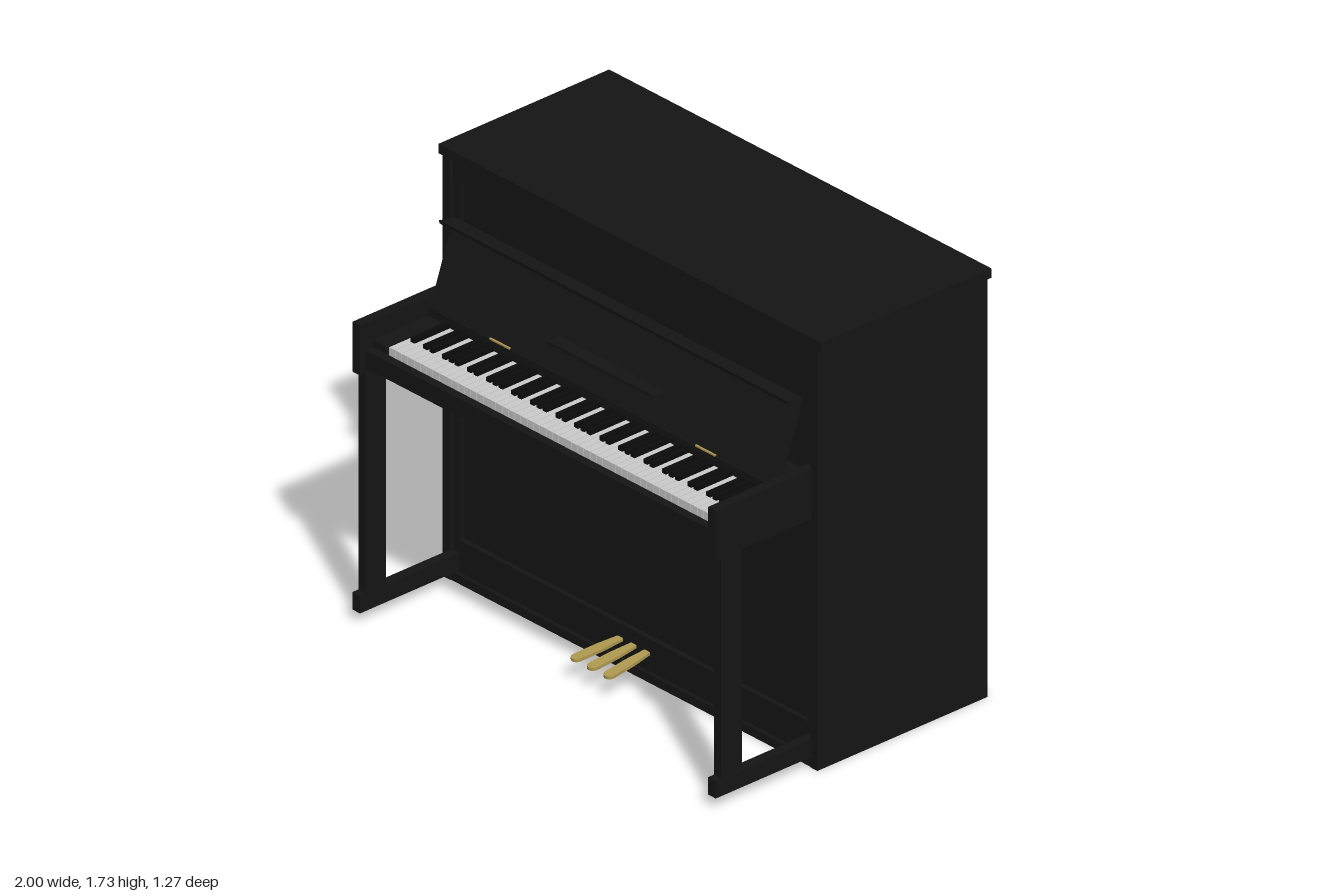
import * as THREE from 'three';

const paint = (color) => new THREE.MeshStandardMaterial({ color });
const black = paint(0x151515);
const ebony = paint(0x0b0b0b);
const ivory = paint(0xdddddd);
const brass = paint(0xb09a50);

// Box given by its limits on each axis
function box(parent, name, [x0, x1], [y0, y1], [z0, z1], material = black) {
  const mesh = new THREE.Mesh(new THREE.BoxGeometry(x1 - x0, y1 - y0, z1 - z0), material);
  mesh.position.set((x0 + x1) / 2, (y0 + y1) / 2, (z0 + z1) / 2);
  mesh.name = name;
  parent.add(mesh);
  return mesh;
}

// The same box on the left (+x) and the right (-x)
function pair(parent, name, [x0, x1], y, z, material) {
  box(parent, name + 'Left', [x0, x1], y, z, material);
  box(parent, name + 'Right', [-x1, -x0], y, z, material);
}

// Side profile of [z, y] points, swept across the width
function sweep(parent, name, points, halfWidth, material = black) {
  const shape = new THREE.Shape(points.map(([z, y]) => new THREE.Vector2(-z, y)));
  const geometry = new THREE.ExtrudeGeometry(shape, { depth: 2 * halfWidth, bevelEnabled: false });
  geometry.translate(0, 0, -halfWidth);
  geometry.rotateY(Math.PI / 2);
  const mesh = new THREE.Mesh(geometry, material);
  mesh.name = name;
  parent.add(mesh);
}

function addCabinet(parent) {
  const g = new THREE.Group();
  g.name = 'cabinet';
  parent.add(g);
  box(g, 'lid', [-1, 1], [1.69, 1.727], [-0.637, 0.18]);
  pair(g, 'sidePanel', [0.94, 0.98], [0, 1.69], [-0.635, 0.178]);
  box(g, 'core', [-0.94, 0.94], [0, 1.69], [-0.635, 0.14]);
  // Frame around the recessed front panels
  pair(g, 'stile', [0.91, 0.94], [0.04, 1.64], [0.14, 0.16]);
  box(g, 'topRail', [-0.94, 0.94], [1.6, 1.69], [0.14, 0.165]);
  box(g, 'baseBoard', [-0.91, 0.91], [0.035, 0.165], [0.14, 0.16]);
  box(g, 'bottomRail', [-0.94, 0.94], [0, 0.035], [0.14, 0.175]);
}

function addKeyBed(parent) {
  const g = new THREE.Group();
  g.name = 'keyBed';
  parent.add(g);
  pair(g, 'arm', [0.91, 0.95], [1.0, 1.2], [0.14, 0.637]);
  pair(g, 'leg', [0.912, 0.948], [0.11, 1.0], [0.51, 0.61]);
  pair(g, 'toe', [0.91, 0.95], [0.045, 0.115], [0.14, 0.637]);
  box(g, 'bed', [-0.91, 0.91], [1.02, 1.075], [0.14, 0.575]);
  box(g, 'keySlip', [-0.91, 0.91], [1.02, 1.092], [0.575, 0.61]);
  box(g, 'fallBoard', [-0.91, 0.91], [1.075, 1.155], [0.14, 0.31]);
  box(g, 'keyBlockRight', [-0.91, -0.842], [1.075, 1.12], [0.31, 0.575]);
  box(g, 'keyBlockLeft', [0.872, 0.91], [1.075, 1.12], [0.31, 0.575]);
  pair(g, 'hinge', [0.485, 0.59], [1.154, 1.16], [0.297, 0.312], brass);
}

// 52 white and 36 black keys, starting on A
function addKeys(parent) {
  const g = new THREE.Group();
  g.name = 'keys';
  parent.add(g);
  const start = -0.84, step = 1.71 / 52;
  const sharpAfter = [true, false, true, true, false, true, true]; // A B C D E F G
  for (let i = 0; i < 52; i++) {
    const x = start + i * step;
    box(g, 'whiteKey', [x + 0.0012, x + step - 0.0012], [1.08, 1.115], [0.31, 0.563], ivory);
    if (sharpAfter[i % 7] && i < 51) {
      const c = x + step;
      box(g, 'blackKey', [c - 0.01, c + 0.01], [1.1, 1.132], [0.31, 0.48], ebony);
    }
  }
}

function addMusicDesk(parent) {
  const g = new THREE.Group();
  g.name = 'musicDesk';
  parent.add(g);
  sweep(g, 'deskPanel', [[0.308, 1.15], [0.288, 1.15], [0.178, 1.462], [0.198, 1.468]], 0.905);
  sweep(g, 'deskCap', [[0.257, 1.472], [0.259, 1.485], [0.18, 1.468], [0.18, 1.455]], 0.91);
  box(g, 'deskLedge', [-0.275, 0.275], [1.263, 1.275], [0.25, 0.318]);
}

function addPedals(parent) {
  const g = new THREE.Group();
  g.name = 'pedals';
  parent.add(g);
  // Plan outline: narrow neck widening to a rounded tip
  const outline = new THREE.Shape();
  outline.moveTo(-0.014, 0);
  outline.lineTo(0.014, 0);
  outline.lineTo(0.022, 0.1);
  outline.lineTo(0.022, 0.2);
  outline.absarc(0, 0.2, 0.022, 0, Math.PI, false);
  outline.lineTo(-0.022, 0.1);
  const geometry = new THREE.ExtrudeGeometry(outline, { depth: 0.012, bevelEnabled: false, curveSegments: 10 });
  geometry.rotateX(Math.PI / 2);
  for (const side of [-1, 0, 1]) {
    const pedal = new THREE.Mesh(geometry, brass);
    pedal.name = 'pedal';
    pedal.rotation.order = 'YXZ';
    pedal.rotation.set(0.07, side * 0.08, 0);
    pedal.position.set(side * 0.07, 0.113, 0.155);
    g.add(pedal);
  }
}

export function createModel() {
  const model = new THREE.Group();
  model.name = 'uprightPiano';
  addCabinet(model);
  addKeyBed(model);
  addKeys(model);
  addMusicDesk(model);
  addPedals(model);
  return model;
}
